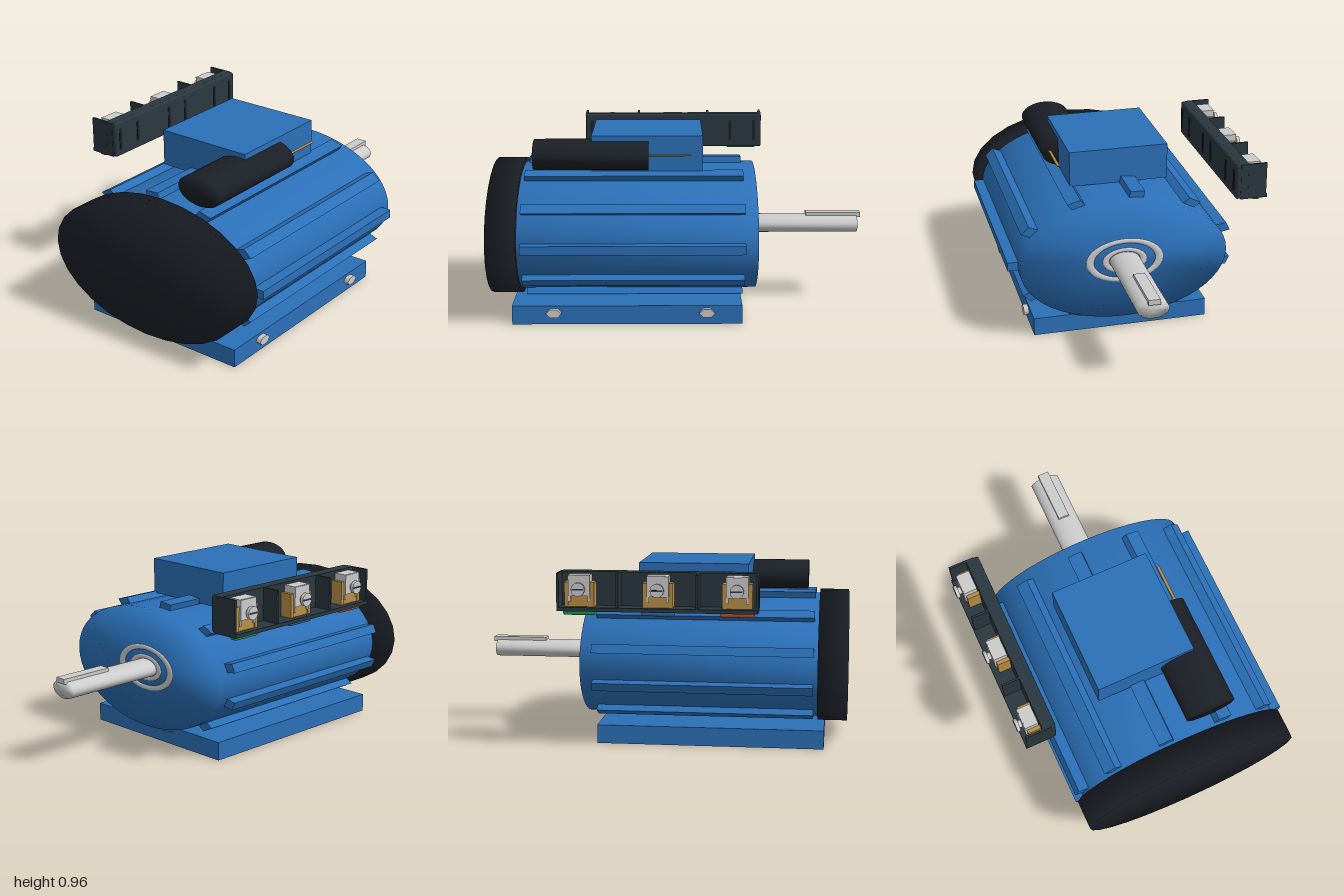
import * as THREE from 'three';
import { mergeVertices } from 'three/addons/utils/BufferGeometryUtils.js';
import { RoundedBoxGeometry } from 'three/addons/geometries/RoundedBoxGeometry.js';

const mat = (color) => new THREE.MeshStandardMaterial({ color });
const blue = mat(0x2b70b8), black = mat(0x1b1f26), slate = mat(0x2a373f), grey = mat(0xcccccc);
const brass = mat(0xb98f45), green = mat(0x1f9a48), lightBlue = mat(0x2f6ea8), orange = mat(0xb5532a);

const CY = 0.432, CZ = 0.074, OVAL = 1.7; // shaft axis and sideways stretch

export function createModel() {
  const root = new THREE.Group();
  root.name = 'electricMotor';

  const add = (parent, name, geometry, material, x = 0, y = 0, z = 0) => {
    const mesh = new THREE.Mesh(geometry, material);
    mesh.name = name;
    mesh.position.set(x, y, z);
    parent.add(mesh);
    return mesh;
  };

  // Box given by its limits on each axis
  const box = (parent, name, material, x0, x1, y0, y1, z0, z1) =>
    add(parent, name, new THREE.BoxGeometry(x1 - x0, y1 - y0, z1 - z0), material,
      (x0 + x1) / 2, (y0 + y1) / 2, (z0 + z1) / 2);

  // Oval cylinder along x whose normals blend softly over its ends
  const ovalRod = (parent, name, material, x0, x1, r, y, z, sides = 32) => {
    let g = new THREE.CylinderGeometry(r, r, x1 - x0, sides);
    g.deleteAttribute('uv');
    g.deleteAttribute('normal');
    g = mergeVertices(g, 1e-4);
    g.rotateZ(-Math.PI / 2).scale(1, 1, OVAL);
    g.computeVertexNormals();
    return add(parent, name, g, material, (x0 + x1) / 2, y, z);
  };

  // Housing, fan cover and shaft
  ovalRod(root, 'housing', blue, -0.85, 0.408, 0.333, CY, CZ, 48);
  ovalRod(root, 'fanCover', black, -1, -0.842, 0.355, CY, CZ, 28);
  ovalRod(root, 'shaft', grey, 0.38, 0.98, 0.049, CY, CZ);
  box(root, 'shaftKey', grey, 0.7, 1, 0.468, 0.496, 0.043, 0.105);

  // Bearing rings on the drive end
  for (const [name, r, tube] of [['outerBearingRing', 0.112, 0.013], ['innerBearingRing', 0.061, 0.011]]) {
    const ring = new THREE.TorusGeometry(r, tube, 12, 48);
    ring.rotateY(Math.PI / 2).scale(0.6, 1, OVAL);
    add(root, name, ring, grey, 0.407, CY, CZ);
  }

  // Cooling ribs around the housing
  const ribs = new THREE.Group();
  ribs.name = 'coolingRibs';
  root.add(ribs);
  for (let i = 0; i < 11; i++) {
    const g = new THREE.BoxGeometry(1.16, 0.047, 0.045);
    g.translate(0, 0, 0.343).rotateX(-i * Math.PI * 2 / 11).scale(1, 1, OVAL);
    add(ribs, 'coolingRib', g, blue, -0.24, CY, CZ);
  }

  // Base with two hex bolts on the front edge
  box(root, 'basePlate', blue, -0.88, 0.33, 0, 0.1, -0.405, 0.56);
  for (const x of [-0.66, 0.145]) {
    const bolt = new THREE.CylinderGeometry(0.025, 0.025, 0.03, 6);
    bolt.rotateX(Math.PI / 2).rotateZ(Math.PI / 2).scale(1.65, 1, 1);
    add(root, 'baseBolt', bolt.toNonIndexed(), grey, x, 0.064, 0.572);
  }

  // Junction box, capacitor and its lead
  box(root, 'junctionBox', blue, -0.465, 0.125, 0.764, 0.96, -0.235, 0.308);
  ovalRod(root, 'capacitor', black, -0.773, -0.162, 0.081, 0.853, 0.262);
  ovalRod(root, 'capacitorLead', brass, -0.17, 0.065, 0.005, 0.864, 0.355, 10);

  // Terminal block standing behind the motor
  const block = new THREE.Group();
  block.name = 'terminalBlock';
  root.add(block);
  add(block, 'blockWall', new RoundedBoxGeometry(1.03, 0.195, 0.032, 2, 0.012), slate, -0.027, 0.852, -0.525);
  box(block, 'blockBack', slate, -0.542, 0.488, 0.76, 0.948, -0.58, -0.535);
  box(block, 'blockFloor', slate, -0.542, 0.488, 0.753, 0.773, -0.682, -0.535);
  for (const x of [-0.537, -0.232, 0.176, 0.483])
    box(block, 'divider', slate, x - 0.006, x + 0.006, 0.77, 0.948, -0.676, -0.575);

  // Three clamped terminals with a coloured marker underneath
  [[-0.435, orange], [-0.03, lightBlue], [0.375, green]].forEach(([x, marker]) => {
    const t = new THREE.Group();
    t.name = 'terminal';
    t.position.x = x;
    block.add(t);
    for (const s of [-1, 1]) {
      box(t, 'brassCheek', brass, s * 0.067 - 0.01, s * 0.067 + 0.01, 0.773, 0.9, -0.65, -0.58);
      box(t, 'clampSide', grey, s * 0.05 - 0.006, s * 0.05 + 0.006, 0.8, 0.925, -0.655, -0.585);
      box(t, 'wallRidge', black, s * 0.07 - 0.008, s * 0.07 + 0.008, 0.795, 0.91, -0.513, -0.506);
    }
    box(t, 'brassSeat', brass, -0.07, 0.07, 0.773, 0.83, -0.645, -0.585);
    box(t, 'clampPlate', grey, -0.056, 0.056, 0.83, 0.935, -0.66, -0.648);
    box(t, 'clampTop', grey, -0.056, 0.056, 0.925, 0.937, -0.655, -0.585);
    const shank = new THREE.CylinderGeometry(0.02, 0.02, 0.1, 16).rotateX(Math.PI / 2);
    add(t, 'screwShank', shank, grey, 0, 0.866, -0.63);
    const head = new THREE.CylinderGeometry(0.035, 0.035, 0.018, 24).rotateX(Math.PI / 2);
    add(t, 'screwHead', head, grey, 0, 0.866, -0.685);
    box(t, 'screwSlot', slate, -0.03, 0.03, 0.862, 0.87, -0.696, -0.69);
    add(t, 'marker', new RoundedBoxGeometry(0.17, 0.032, 0.042, 2, 0.01), marker, 0, 0.746, -0.633);
  });

  return root;
}
